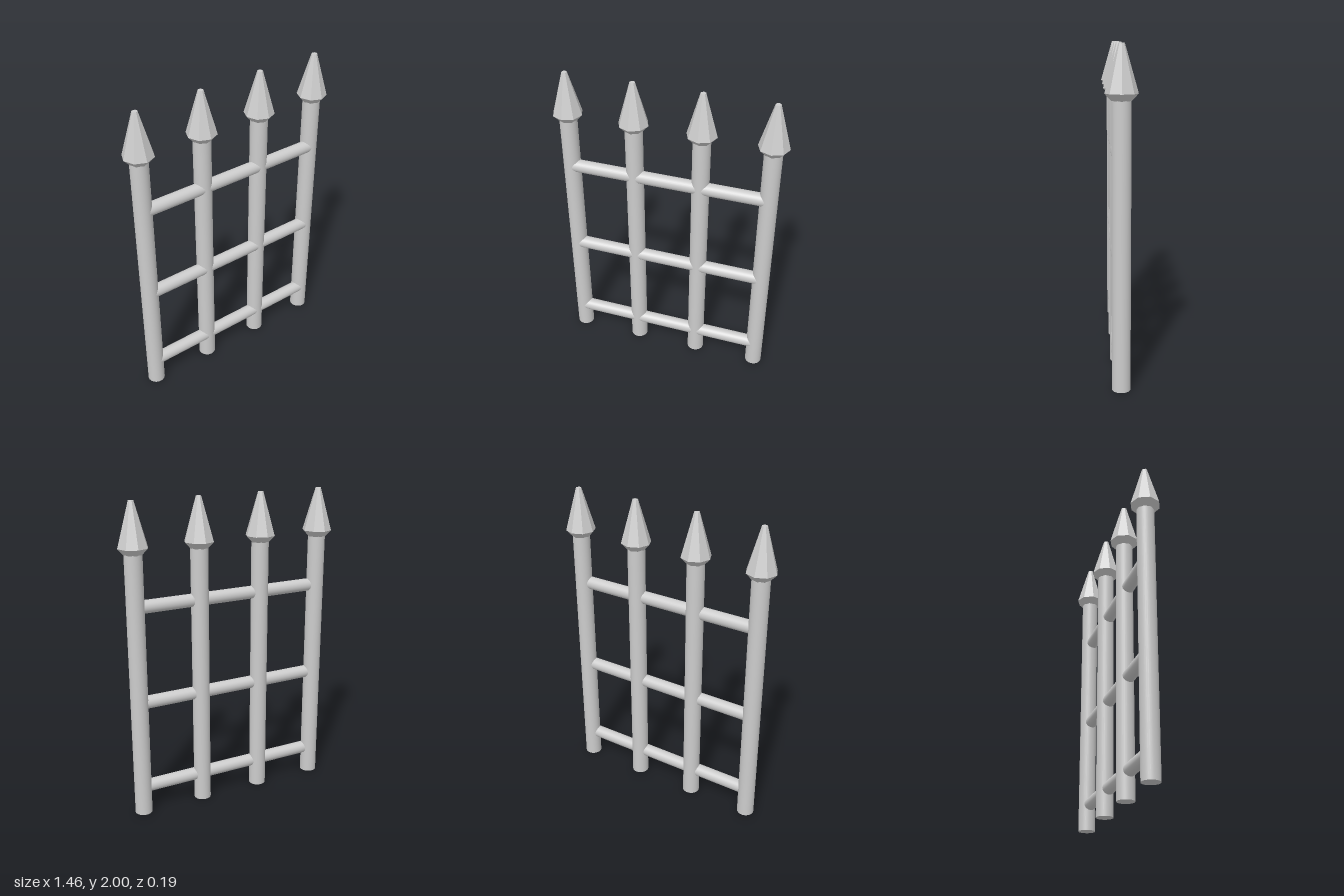
import * as THREE from 'three';

const POST_X = [-0.634, -0.211, 0.211, 0.634];
const RAIL_Y = [0.173, 0.752, 1.367];

export function createModel() {
  const model = new THREE.Group();
  model.name = 'spikedFence';
  const smooth = new THREE.MeshStandardMaterial({ color: 0xcccccc });
  const faceted = new THREE.MeshStandardMaterial({ color: 0xcccccc, flatShading: true });

  const add = (name, geometry, material, x, y, z) => {
    const mesh = new THREE.Mesh(geometry, material);
    mesh.name = name;
    mesh.position.set(x, y, z);
    model.add(mesh);
    return mesh;
  };

  // Round posts, each topped by an eight-sided spearhead with a blunt tip
  const post = new THREE.CylinderGeometry(0.055, 0.055, 1.7, 32);
  const profile = [[0, 1.69], [0.057, 1.69], [0.094, 1.73], [0.017, 2], [0, 2]];
  const spearhead = new THREE.LatheGeometry(profile.map(([r, y]) => new THREE.Vector2(r, y)), 8);
  POST_X.forEach((x, i) => {
    add(`post${i + 1}`, post, smooth, x, 0.85, 0);
    add(`spearhead${i + 1}`, spearhead, faceted, x, 0, 0);
  });

  // Horizontal rails, set slightly towards the front
  const rail = new THREE.CylinderGeometry(0.041, 0.041, 1.268, 32);
  rail.rotateZ(Math.PI / 2);
  RAIL_Y.forEach((y, i) => add(`rail${i + 1}`, rail, smooth, 0, y, 0.011));

  return model;
}
